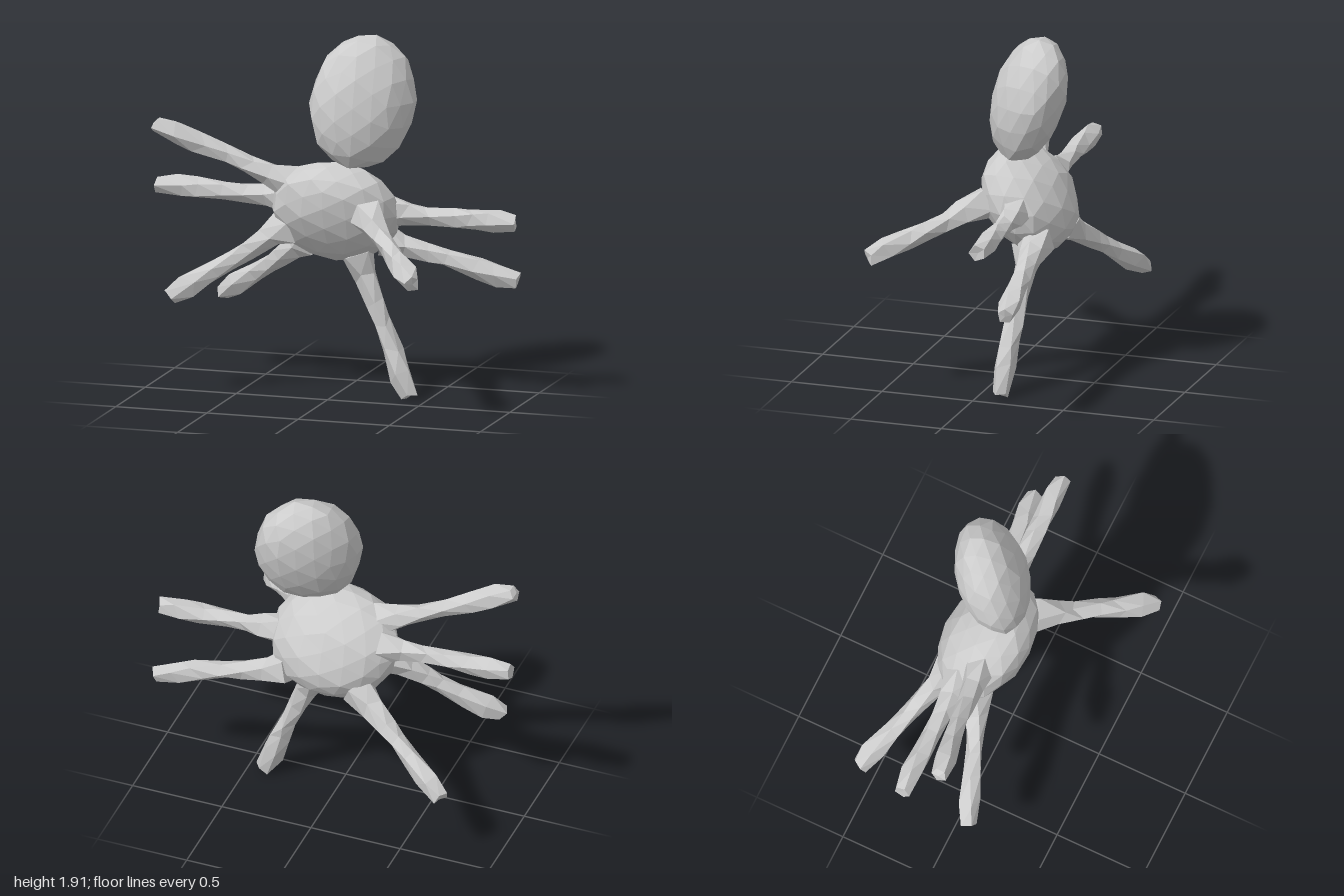
import * as THREE from 'three';

const material = new THREE.MeshStandardMaterial({ color: 0xcccccc, flatShading: true, side: THREE.DoubleSide });

// Repeatable noise in -1..1 that depends only on position, so shared corners stay together
function noise(v, seed) {
  const r = (n) => Math.round(n * 1000) / 1000;
  const s = Math.sin(r(v.x) * 127.1 + r(v.y) * 311.7 + r(v.z) * 74.7 + seed * 19.3) * 43758.5453;
  return (s - Math.floor(s)) * 2 - 1;
}

// Move every vertex of a geometry by a rule
function reshape(geometry, rule) {
  const p = geometry.attributes.position;
  const v = new THREE.Vector3();
  for (let i = 0; i < p.count; i++) {
    v.fromBufferAttribute(p, i);
    rule(v);
    p.setXYZ(i, v.x, v.y, v.z);
  }
  geometry.computeVertexNormals();
  return geometry;
}

// Faceted, leaning ellipsoid: half sizes plus how far z follows y and x follows z
function pebble(name, centre, [sx, sy, sz], zByY, xByZ, seed) {
  const geometry = reshape(new THREE.IcosahedronGeometry(1, 2), (v) => {
    v.multiplyScalar(1.02 + 0.025 * noise(v, seed));
    v.set(v.x * sx + v.z * xByZ, v.y * sy, v.z * sz + v.y * zByY);
  });
  const mesh = new THREE.Mesh(geometry, material);
  mesh.name = name;
  mesh.position.set(...centre);
  return mesh;
}

// Knobbly five-sided leg, flared at the body and blunt at the tip
const legRadii = [0.095, 0.062, 0.05, 0.05, 0.055, 0.062, 0.045];

function leg(name, root, tip, seed) {
  const a = new THREE.Vector3(...root);
  const b = new THREE.Vector3(...tip);
  const axis = b.clone().sub(a);
  const length = axis.length();
  const rings = legRadii.length - 1;
  const geometry = reshape(new THREE.CylinderGeometry(1, 1, 1, 5, rings), (v) => {
    const t = v.y + 0.5;
    const ring = Math.round(t * rings);
    const n = noise(v, seed);
    const radius = legRadii[ring] * (1 + 0.14 * n);
    const twist = ring * 0.3 + seed;
    const x = v.x * Math.cos(twist) - v.z * Math.sin(twist);
    const z = v.x * Math.sin(twist) + v.z * Math.cos(twist);
    const along = ring === 0 || ring === rings ? 0.012 * n : 0.035 * n;
    v.set(x * radius, t * length + along, z * radius);
  });
  const mesh = new THREE.Mesh(geometry, material);
  mesh.name = name;
  mesh.position.copy(a);
  mesh.quaternion.setFromUnitVectors(new THREE.Vector3(0, 1, 0), axis.normalize());
  return mesh;
}

export function createModel() {
  const model = new THREE.Group();
  model.name = 'spider';

  // Flattened body leaning forward, with the tall head lobe leaning back on top
  model.add(pebble('body', [0, 0.995, -0.145], [0.34, 0.275, 0.227], 0.079, 0, 1));
  model.add(pebble('head', [0.135, 1.58, -0.185], [0.24, 0.34, 0.213], -0.074, -0.085, 2));

  // Legs: name, root, tip
  const legs = [
    ['rightUpperLeg', [-0.22, 1.14, -0.09], [-0.94, 1.435, 0.025]],
    ['rightMiddleLeg', [-0.27, 1.045, -0.17], [-0.99, 1.07, -0.165]],
    ['rightFrontLeg', [-0.24, 0.91, -0.08], [-0.82, 0.54, 0.14]],
    ['rightRearLeg', [-0.17, 0.82, -0.27], [-0.74, 0.43, -0.53]],
    ['lowerLeg', [0.11, 0.77, -0.18], [0.41, 0.035, -0.12]],
    ['leftRearLeg', [0.22, 0.84, -0.26], [0.94, 0.645, -0.33]],
    ['leftMiddleLeg', [0.27, 1.0, -0.17], [0.97, 0.985, -0.19]],
    ['leftFrontLeg', [0.22, 1.02, 0.02], [0.635, 0.785, 0.53]],
  ];
  legs.forEach(([name, root, tip], i) => model.add(leg(name, root, tip, i + 1)));

  return model;
}
